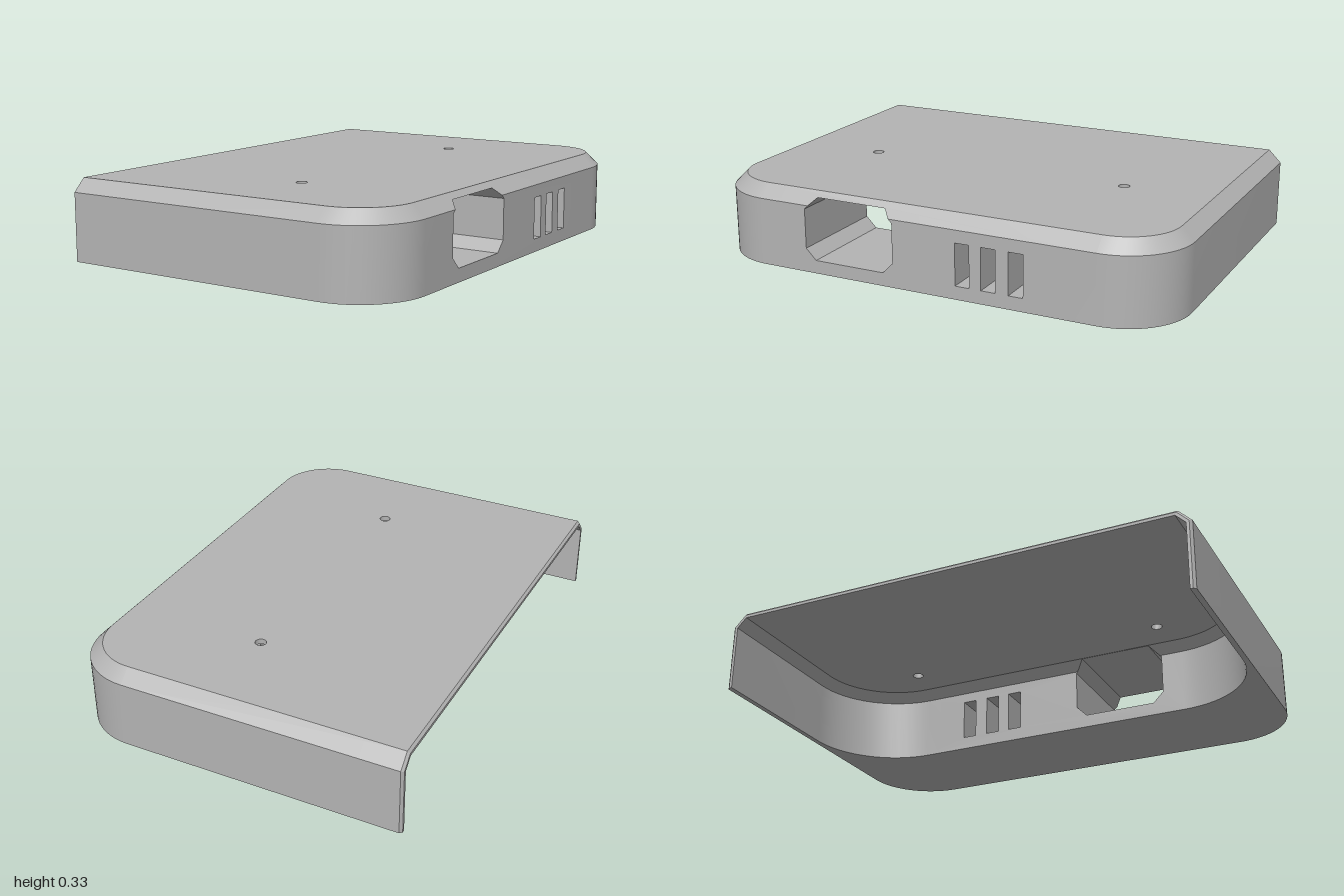
import * as THREE from 'three';
import { toCreasedNormals } from 'three/addons/utils/BufferGeometryUtils.js';

const ARC = 16;
const OUT = { x0: -0.715, xw: 0.725, hz: 1, r: 0.275, yc: 0.28, yt: 0.333 };
const INN = { x0: -0.725, xw: 0.27, hz: 0.978, r: 0.36, yc: 0.271, yt: 0.311 };

// connector port and vent outlines as [z, y], counter-clockwise
const PORT = [[0.17, 0.055], [0.48, 0.055], [0.525, 0.1], [0.525, 0.265], [0.519, 0.271], [0.51, 0.28],
  [0.48, 0.31], [0.17, 0.31], [0.14, 0.28], [0.131, 0.271], [0.125, 0.265], [0.125, 0.1]];
const VENTS = [-0.21, -0.32, -0.435].map(z => [[z, 0.055], [z + 0.06, 0.055], [z + 0.06, 0.228], [z, 0.228]]);
const SCREWS = [-0.575, 0.575].map(z => Array.from({ length: 20 }, (_, i) => {
  const a = i * Math.PI / 10;
  return [0.08 + 0.023 * Math.cos(a), z + 0.023 * Math.sin(a)];
}));

// x of the end wall at height y, following its chamfer
const wallX = (s, y) => s.xw - Math.max(0, y - s.yc);

// U-shaped plan outline [x, z], open toward -x, inset by d
function contour(s, d) {
  const pts = [[s.x0, s.hz - d]];
  for (const side of [1, -1]) {
    for (let i = 0; i <= ARC; i++) {
      const a = (Math.PI / 2) * (side > 0 ? 1 - i / ARC : i / ARC);
      pts.push([s.xw - s.r + (s.r - d) * Math.cos(a), side * (s.hz - s.r + (s.r - d) * Math.sin(a))]);
    }
  }
  pts.push([s.x0, d - s.hz]);
  return pts;
}

// strip of quads between two rows of points
function strip(out, a, b, { closed = false, flip = false, skip = -1 } = {}) {
  const n = a.length;
  for (let i = 0; i < (closed ? n : n - 1); i++) {
    if (i === skip) continue;
    const j = (i + 1) % n;
    const q = [a[i], a[j], b[j], a[i], b[j], b[i]];
    if (flip) q.reverse();
    q.forEach(p => out.push(...p));
  }
}

// flat outline with holes, mapped into space
function face(out, outline, holes, map, flip) {
  const vec = l => l.map(p => new THREE.Vector2(...p));
  const shape = new THREE.Shape(vec(outline));
  shape.holes = holes.map(h => new THREE.Path(vec(h)));
  const g = new THREE.ShapeGeometry(shape).toNonIndexed().attributes.position;
  const pts = [];
  for (let i = 0; i < g.count; i++) pts.push(map(g.getX(i), g.getY(i)));
  if (flip) pts.reverse();
  pts.forEach(p => out.push(...p));
}

// walls, chamfer, top and pierced end wall of one skin
function skin(s, flip) {
  const out = [];
  const c = s.yt - s.yc;
  const row = (d, y) => contour(s, d).map(([x, z]) => [x, y, z]);
  const opt = { flip, skip: ARC + 1 };
  strip(out, row(0, 0), row(0, s.yc), opt);
  strip(out, row(0, s.yc), row(c, s.yt), opt);
  face(out, contour(s, c), SCREWS, (x, z) => [x, s.yt, z], !flip);

  // end wall, with the port cut through its top edge into the chamfer
  const f = s.hz - s.r;
  const map = (z, y) => [wallX(s, y), y, z];
  const below = PORT.filter(p => p[1] <= s.yc);
  const left = below.filter(p => p[0] < 0.3), right = below.filter(p => p[0] > 0.3);
  const leftDown = left.slice(1).concat([left[0]]);
  const notch = [...right.reverse(), left[0], ...leftDown.slice(0, -1).reverse()];
  face(out, [[-f, 0], [f, 0], [f, s.yc], ...notch, [-f, s.yc]], VENTS, map, !flip);
  const above = PORT.filter(p => p[1] >= s.yc).reverse();
  face(out, [[-f, s.yc], ...above, [f, s.yc], [f, s.yt], [-f, s.yt]], [], map, !flip);
  return out;
}

// arch section [z, y] across the open end
const arch = (hz, yc, zt, yt) => [[hz, 0], [hz, yc], [zt, yt], [-zt, yt], [-hz, yc], [-hz, 0]];

export function createModel() {
  const group = new THREE.Group();
  const grey = new THREE.MeshStandardMaterial({ color: 0xb4b4b4, side: THREE.DoubleSide });
  grey.name = 'grey plastic';
  const add = (name, pos) => {
    const g = new THREE.BufferGeometry();
    g.setAttribute('position', new THREE.Float32BufferAttribute(pos, 3));
    const mesh = new THREE.Mesh(toCreasedNormals(g, 0.4), grey);
    mesh.name = name;
    group.add(mesh);
  };

  add('outerShell', skin(OUT, false));
  add('innerCavity', skin(INN, true));

  // bevelled lip around the open end
  const lip = [];
  const at = (x, l) => l.map(([z, y]) => [x, y, z]);
  const outer = arch(1, 0.28, 0.947, 0.333);
  const mid = arch(0.99, 0.276, 0.943, 0.323);
  const inner = arch(INN.hz, INN.yc, 0.938, INN.yt);
  strip(lip, at(-0.715, outer), at(-0.725, mid));
  strip(lip, at(-0.725, mid), at(-0.725, inner));
  add('openEndLip', lip);

  // underside of the walls and the thick end block
  const rim = [];
  face(rim, [[-0.725, 0.99], ...contour(OUT, 0), [-0.725, -0.99], ...contour(INN, 0).reverse()], [],
    (x, z) => [x, 0, z], false);
  add('bottomRim', rim);

  // tunnels through the end block
  const tunnel = (name, l) => {
    const t = [];
    strip(t, l.map(([z, y]) => [wallX(INN, y), y, z]), l.map(([z, y]) => [wallX(OUT, y), y, z]), { closed: true });
    add(name, t);
  };
  tunnel('connectorPort', PORT);
  VENTS.forEach(v => tunnel('ventSlot', v));

  // screw holes through the top
  SCREWS.forEach(l => {
    const t = [];
    strip(t, l.map(([x, z]) => [x, INN.yt, z]), l.map(([x, z]) => [x, OUT.yt, z]), { closed: true });
    add('screwHole', t);
  });
  return group;
}
